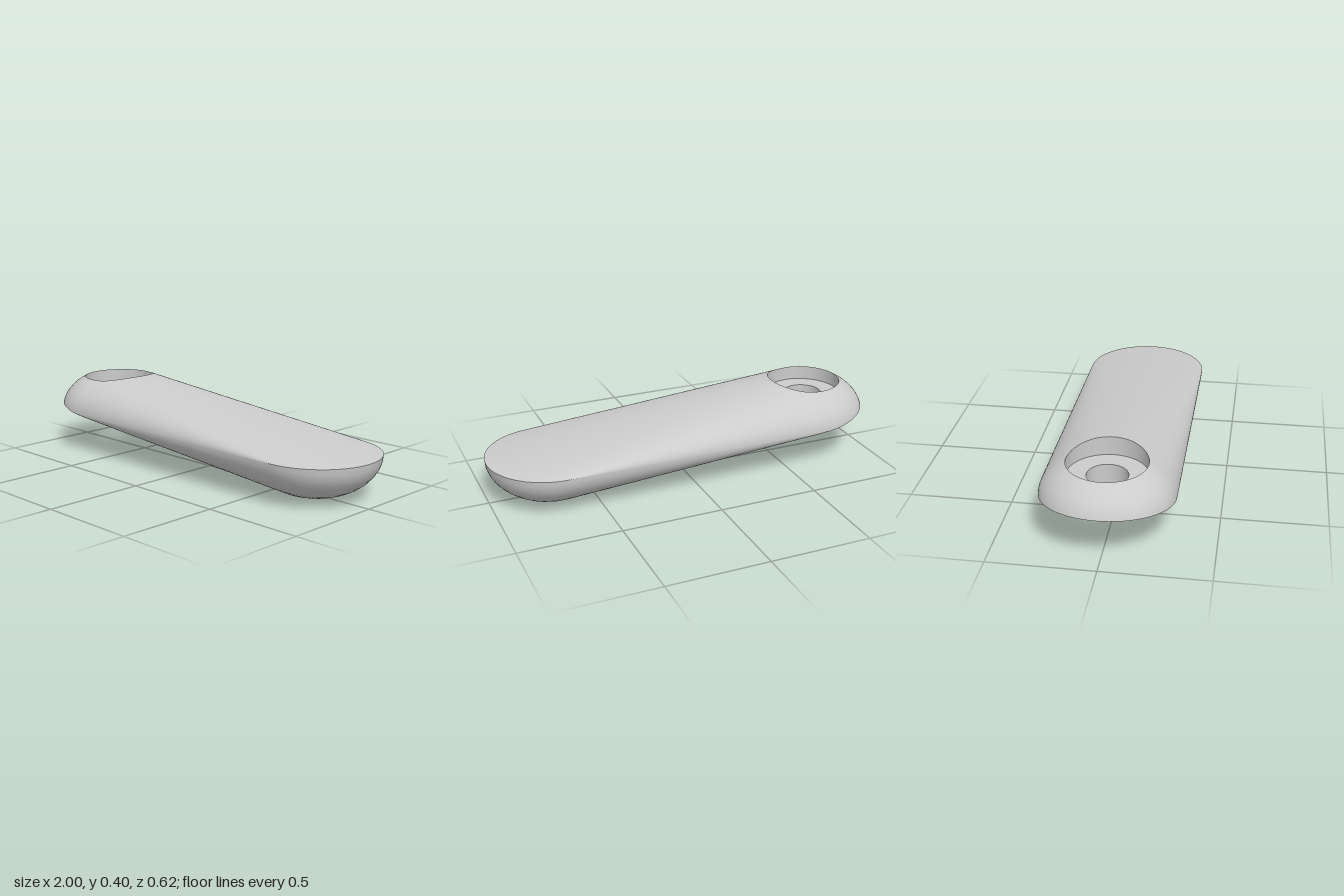
import * as THREE from 'three';

// Plan radius and half height of the end ellipsoids, their common centre height
const R = 0.311, H = 0.2085, Y0 = 0.2085;
// Slope of the flat underside, and the half length of its cut through the left-hand dome
const M = 0.154, EX = R / Math.hypot(1, M * R / H);
const XA = EX - 1, XB = 1 - R;
// Stepped screw hole
const BORE = 0.186, HOLE = 0.095, FLOOR = 0.305;

// Minimum of a convex function on [-lim, lim]
function minimise(f, lim = 10) {
  let a = -lim, b = lim;
  for (let i = 0; i < 36; i++) {
    const c = a + (b - a) * 0.36, d = b - (b - a) * 0.36;
    if (f(c) < f(d)) b = d; else a = c;
  }
  return f((a + b) / 2);
}

// Height of the convex skin over (x, z): the lowest of all planes resting on both ends
const skin = (x, z, endA, endB) => minimise(p => minimise(q =>
  Math.max(p * (x - XA) + endA(p, q), p * (x - XB) + endB(p, q)) + q * z));

const dome = (p, q) => Math.sqrt(H * H + R * R * (p * p + q * q));
const disc = (p, q) => R * Math.hypot(p, q);
const tiltedDisc = (p, q) => Math.hypot(EX * (M - p), R * q);
const topY = (x, z) => Y0 + skin(x, z, dome, disc);
const bottomY = (x, z) => Y0 - skin(x, z, tiltedDisc, dome);

// Surface through closed rings of points
function surface(name, rings, material) {
  const n = rings[0].length, index = [];
  for (let i = 0; i < rings.length - 1; i++) {
    for (let j = 0; j < n; j++) {
      const k = (j + 1) % n, a = i * n + j, b = a + n, c = i * n + k, d = c + n;
      index.push(a, b, c, b, d, c);
    }
  }
  const g = new THREE.BufferGeometry().setFromPoints(rings.flat());
  g.setIndex(index);
  g.computeVertexNormals();
  const mesh = new THREE.Mesh(g, material);
  mesh.name = name;
  return mesh;
}

export function createModel() {
  const group = new THREE.Group();
  group.name = 'lever';
  const material = new THREE.MeshStandardMaterial({ color: 0xcccccc });

  // Rounded outline where the upper and lower skins meet
  const outline = [], ARC = 36, SIDE = 24;
  const add = (x, z) => outline.push(new THREE.Vector3(x, Y0 + M * Math.max(0, XA - x), z));
  for (let i = 0; i < ARC; i++) {
    const t = (i / ARC - 0.5) * Math.PI;
    add(XB + R * Math.cos(t), R * Math.sin(t));
  }
  for (let i = 0; i < SIDE; i++) add(XB + (XA - XB) * i / SIDE, R);
  for (let i = 0; i < ARC; i++) {
    const t = (i / ARC + 0.5) * Math.PI;
    add(XA + EX * Math.cos(t), R * Math.sin(t));
  }
  for (let i = 0; i < SIDE; i++) add(XA + (XB - XA) * i / SIDE, -R);

  // Circle around the hole axis, matched point by point to the outline
  const circle = (r, height) => outline.map(o => {
    const t = Math.atan2(o.z, o.x - XA);
    const x = XA + r * Math.cos(t), z = r * Math.sin(t);
    return new THREE.Vector3(x, height(x, z), z);
  });

  // Rings from a circle out to the outline, closer together near the rim
  const STEPS = 22;
  const skinRings = (r, height) => {
    const inner = circle(r, height), rings = [inner];
    for (let i = 1; i < STEPS; i++) {
      const s = Math.sin(i / STEPS * Math.PI / 2);
      rings.push(inner.map((p, j) => {
        const v = p.clone().lerp(outline[j], s);
        v.y = height(v.x, v.z);
        return v;
      }));
    }
    rings.push(outline);
    return rings;
  };

  const top = skinRings(BORE, topY), bottom = skinRings(HOLE, bottomY);
  const floorOuter = circle(BORE, () => FLOOR), floorInner = circle(HOLE, () => FLOOR);
  group.add(
    surface('upperSkin', [...top].reverse(), material),
    surface('counterboreWall', [top[0], floorOuter], material),
    surface('counterboreFloor', [floorOuter, floorInner], material),
    surface('holeWall', [floorInner, bottom[0]], material),
    surface('lowerSkin', bottom, material),
  );
  return group;
}
